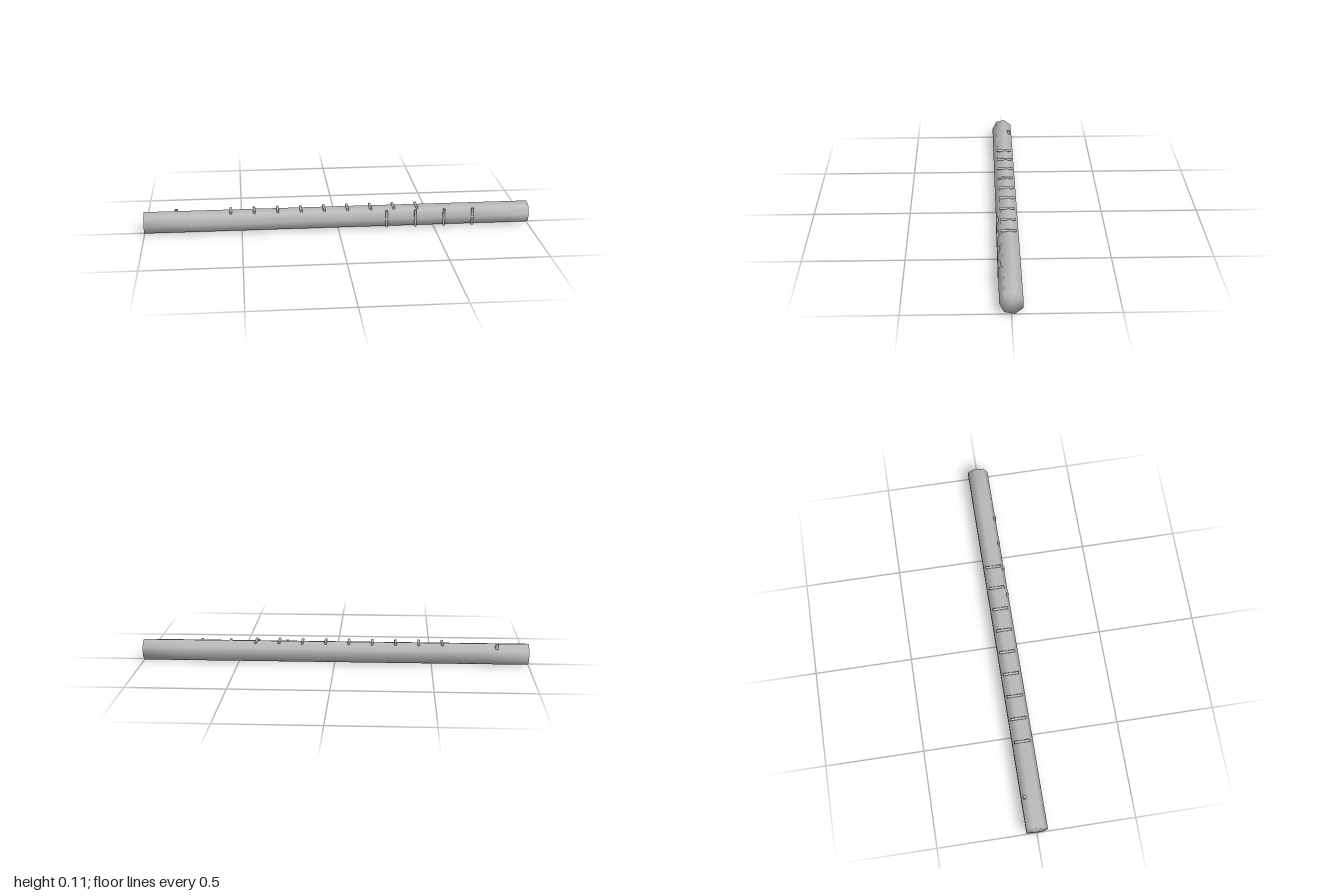
import * as THREE from 'three';
import { mergeVertices } from 'three/addons/utils/BufferGeometryUtils.js';

export function createModel() {
  const model = new THREE.Group();
  const grey = new THREE.MeshStandardMaterial({ color: 0xbbbbbb });
  grey.name = 'plain grey';

  function add(name, geometry, x, y, z) {
    const mesh = new THREE.Mesh(geometry, grey);
    mesh.name = name;
    mesh.position.set(x, y, z);
    model.add(mesh);
    return mesh;
  }

  // Seven-sided tube along x; shared vertices let shading flow over its capped ends
  const tube = new THREE.CylinderGeometry(0.0565, 0.0565, 2, 7, 8).rotateZ(-Math.PI / 2);
  tube.deleteAttribute('normal');
  tube.deleteAttribute('uv');
  const body = mergeVertices(tube, 1e-4);
  body.computeVertexNormals();
  add('body', body, 0, 0.0565, -0.002);

  // Row of crosswise key rods on top
  const topRod = new THREE.CylinderGeometry(0.0068, 0.0068, 0.08, 10).rotateX(Math.PI / 2);
  for (let i = 0; i < 9; i++) {
    add('topRod' + (i + 1), topRod, -0.555 + i * 0.1205, 0.109, -0.003);
  }

  // Upright key rods on the front
  const frontRod = new THREE.CylinderGeometry(0.0065, 0.0065, 0.09, 10);
  for (let i = 0; i < 4; i++) {
    add('frontRod' + (i + 1), frontRod, 0.25 + i * 0.15, 0.057, 0.049);
  }

  // Small stud near the mouth end
  add('mouthStud', new THREE.CylinderGeometry(0.009, 0.009, 0.026, 10), -0.835, 0.1, -0.036);

  return model;
}
